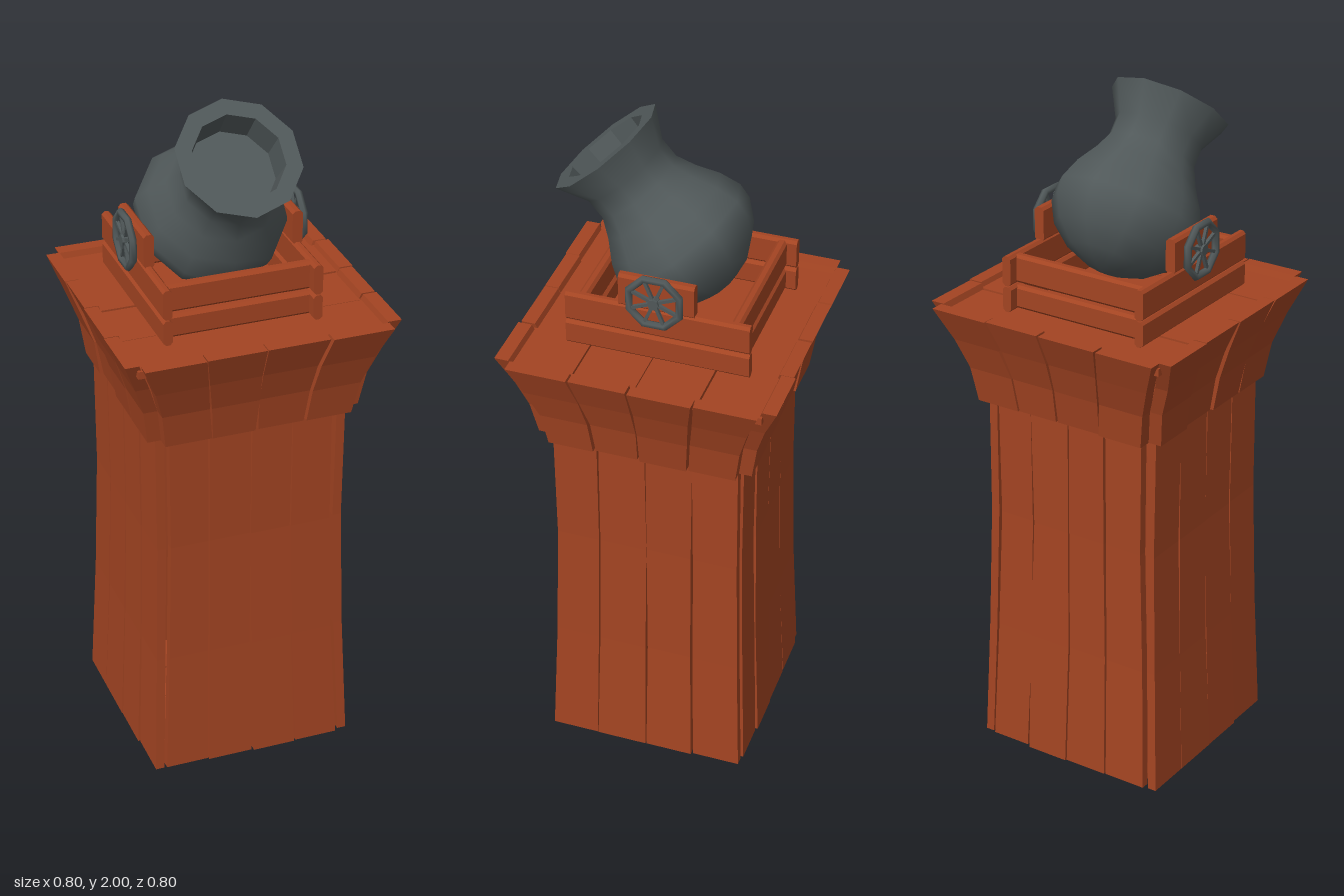
import * as THREE from 'three';

const wood = new THREE.MeshStandardMaterial({ color: 0xa34422 });
wood.name = 'reddish wood';
const iron = new THREE.MeshStandardMaterial({ color: 0x505859 });
iron.name = 'dark iron';

// small seeded random in -1..1
let seed = 7;
const rnd = () => {
  seed = (seed * 16807) % 2147483647;
  return (seed / 2147483647) * 2 - 1;
};

function flat(geo) {
  const g = geo.index ? geo.toNonIndexed() : geo;
  g.computeVertexNormals();
  return g;
}

function add(parent, name, geo, mat, x = 0, y = 0, z = 0) {
  const mesh = new THREE.Mesh(geo, mat);
  mesh.name = name;
  mesh.position.set(x, y, z);
  parent.add(mesh);
  return mesh;
}

// upright board facing +z; levels are [y, distance from axis], u0..u1 its share of the wall
function wallPlank(levels, u0, u1, thick, inset, gap) {
  const n = levels.length - 1;
  const geo = new THREE.BoxGeometry(1, 1, 1, 1, n, 1);
  const p = geo.attributes.position;
  const push = rnd() * 0.004;
  const wobble = levels.map(() => [rnd() * 0.003, rnd() * 0.003, rnd() * 0.002]);
  for (let i = 0; i < p.count; i++) {
    const k = Math.round((p.getY(i) + 0.5) * n);
    const [y, h] = levels[k];
    const right = p.getX(i) > 0;
    const x = (right ? u1 : u0) * (h - inset) + (right ? -gap + wobble[k][0] : gap + wobble[k][1]);
    const z = h + push + wobble[k][2] - (0.5 - p.getZ(i)) * thick;
    p.setXYZ(i, x, y + (k === 0 ? Math.abs(push) : 0), z);
  }
  return flat(geo);
}

// four walls of boards around the axis
function walls(parent, name, levels, cuts, thick, insets, gap) {
  for (let side = 0; side < 4; side++) {
    const wall = new THREE.Group();
    wall.name = name + 'Wall';
    wall.rotation.y = (side * Math.PI) / 2;
    for (let i = 0; i < cuts.length - 1; i++) {
      add(wall, name + 'Plank', wallPlank(levels, cuts[i], cuts[i + 1], thick, insets[side % 2], gap), wood);
    }
    parent.add(wall);
  }
}

// flat layer of boards running along x
function floor(parent, name, half, y, thick) {
  const w = (half * 2) / 4;
  for (let i = 0; i < 4; i++) {
    add(parent, name, new THREE.BoxGeometry(half * 2 + rnd() * 0.006, thick, w - 0.004), wood,
      0, y + rnd() * 0.002, -half + w * (i + 0.5));
  }
}

// beam with softened long edges, along z
function beam(w, h, len) {
  const b = 0.008, x = w / 2, y = h / 2;
  const s = new THREE.Shape([
    [-x + b, -y], [x - b, -y], [x, -y + b], [x, y - b],
    [x - b, y], [-x + b, y], [-x, y - b], [-x, -y + b],
  ].map(([a, c]) => new THREE.Vector2(a, c)));
  return new THREE.ExtrudeGeometry(s, { depth: len, bevelEnabled: false }).translate(0, 0, -len / 2);
}

function makeWheel() {
  const wheel = new THREE.Group();
  wheel.name = 'wheel';
  const rim = new THREE.TorusGeometry(0.077, 0.011, 6, 8).rotateZ(Math.PI / 8).rotateY(Math.PI / 2);
  add(wheel, 'wheelRim', rim, iron);
  for (let i = 0; i < 4; i++) {
    add(wheel, 'wheelSpoke', new THREE.BoxGeometry(0.009, 0.15, 0.009), iron).rotation.x = (i * Math.PI) / 4 + Math.PI / 8;
  }
  add(wheel, 'wheelHub', flat(new THREE.CylinderGeometry(0.016, 0.016, 0.022, 8).rotateZ(Math.PI / 2)), iron);
  return wheel;
}

function makeCannon() {
  const cannon = new THREE.Group();
  cannon.name = 'mortar';
  const lathe = (pts) => new THREE.LatheGeometry(pts.map(([r, y]) => new THREE.Vector2(r, y)), 10);
  // pot-bellied barrel up to the flared lip
  add(cannon, 'barrel', lathe([
    [0, -0.51], [0.06, -0.5], [0.12, -0.475], [0.18, -0.425], [0.212, -0.365], [0.215, -0.32],
    [0.192, -0.26], [0.155, -0.2], [0.13, -0.145], [0.13, -0.085], [0.175, 0],
  ]), iron);
  add(cannon, 'muzzleLip', flat(lathe([[0.175, 0], [0.128, 0]])), iron);
  add(cannon, 'bore', flat(lathe([[0.128, 0], [0.122, -0.09], [0, -0.09]])), iron);
  cannon.position.set(-0.024, 1.884, 0.21);
  cannon.rotation.x = 0.72;
  return cannon;
}

export function createModel() {
  seed = 7;
  const model = new THREE.Group();
  model.name = 'mortarTower';

  // tower shaft
  const shaft = new THREE.Group();
  shaft.name = 'shaft';
  shaft.position.x = -0.01;
  walls(shaft, 'shaft', [[0, 0.303], [0.38, 0.287], [0.75, 0.278], [1.13, 0.28]],
    [-1, -0.52, 0, 0.5, 1], 0.026, [0.036, 0.008], 0.002);
  floor(shaft, 'baseBoard', 0.272, 0.025, 0.02);
  model.add(shaft);

  // flared collar and deck
  const collar = new THREE.Group();
  collar.name = 'collar';
  walls(collar, 'collar', [[1.105, 0.31], [1.21, 0.327], [1.3, 0.357], [1.398, 0.397]],
    [-1, -0.5, -0.02, 0.49, 1], 0.04, [0.036, 0.036], 0.003);
  floor(collar, 'deckBoard', 0.362, 1.372, 0.022);
  model.add(collar);

  // carriage frame of stacked beams
  const carriage = new THREE.Group();
  carriage.name = 'carriage';
  carriage.position.x = -0.024;
  for (const [y, h] of [[1.42, 0.074], [1.504, 0.088]]) {
    for (const s of [-1, 1]) {
      add(carriage, 'sideBeam', beam(0.027, h, 0.525), wood, s * 0.217, y, -0.013);
    }
    for (const z of [0.203, -0.232]) {
      add(carriage, 'crossBeam', beam(0.03, h - 0.006, 0.42).rotateY(Math.PI / 2), wood, 0, y, z);
    }
  }
  // cheek blocks, axles and wheels
  for (const s of [-1, 1]) {
    add(carriage, 'cheekBlock', beam(0.03, 0.1, 0.215), wood, s * 0.216, 1.592, -0.012);
    add(carriage, 'axle', new THREE.CylinderGeometry(0.01, 0.01, 0.06, 8).rotateZ(Math.PI / 2), iron, s * 0.23, 1.585, -0.013);
    const wheel = makeWheel();
    wheel.position.set(s * 0.249, 1.585, -0.013);
    carriage.add(wheel);
  }
  model.add(carriage);

  model.add(makeCannon());
  return model;
}
